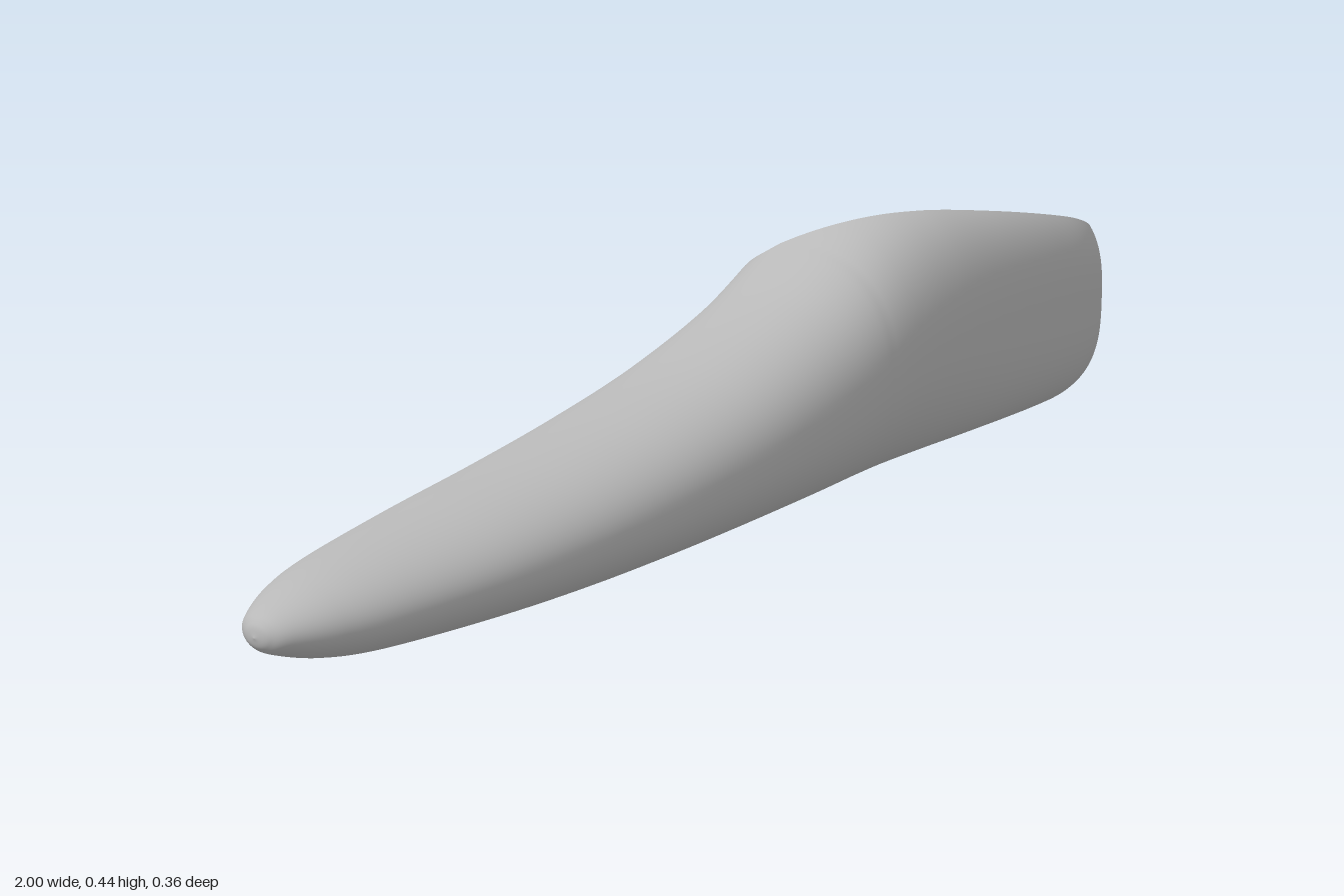
import * as THREE from 'three';

// Stations along the length: x, top, bottom, half width, roundness exponent
const stations = [
  [-1, 0.125, 0.125, 0, 2], [-0.993, 0.145, 0.107, 0.025, 2], [-0.97, 0.16, 0.092, 0.05, 2],
  [-0.9, 0.181, 0.068, 0.086, 2], [-0.8, 0.195, 0.051, 0.115, 2], [-0.6, 0.21, 0.035, 0.145, 2.05],
  [-0.4, 0.226, 0.023, 0.16, 2.1], [-0.2, 0.25, 0.016, 0.168, 2.15], [0, 0.286, 0.012, 0.173, 2.2],
  [0.2, 0.346, 0.009, 0.176, 2.25], [0.37, 0.43, 0.007, 0.178, 2.3], [0.5, 0.45, 0.006, 0.179, 2.5],
  [0.65, 0.435, 0.005, 0.179, 2.8], [0.8, 0.412, 0.004, 0.179, 3], [0.89, 0.392, 0.006, 0.175, 3],
  [0.95, 0.362, 0.022, 0.158, 2.9], [0.982, 0.322, 0.06, 0.125, 2.8], [0.996, 0.26, 0.11, 0.075, 2.6],
  [1, 0.18, 0.18, 0, 2.5],
];

const spline = (pick) =>
  new THREE.CatmullRomCurve3(stations.map(pick), false, 'catmullrom', 0.5);
const heights = spline((s) => new THREE.Vector3(s[0], s[1], s[2]));
const widths = spline((s) => new THREE.Vector3(s[0], s[3], s[4]));

// Slanted plane that cuts the opening
const cutHeight = (x, z) => 0.55 - 0.34 * x + 0.7 * z;

// Point of the rounded cross-section at an angle
function sectionPoint(h, w, angle) {
  const power = 2 / w.z;
  const c = Math.cos(angle), s = Math.sin(angle);
  const middle = (h.y + h.z) / 2, half = Math.max(0, (h.y - h.z) / 2);
  return new THREE.Vector3(
    h.x,
    middle + half * Math.sign(s) * Math.abs(s) ** power,
    Math.max(0, w.y) * Math.sign(c) * Math.abs(c) ** power,
  );
}

// Range of angles lying above the cut; zero width where the section is whole
function cutRange(h, w) {
  const steps = 720;
  const excess = (a) => {
    const p = sectionPoint(h, w, a);
    return p.y - cutHeight(p.x, p.z);
  };
  let start = null, end = null, best = -Infinity, bestAngle = 0;
  let before = excess(-Math.PI / 2);
  for (let i = 1; i <= steps; i++) {
    const a = -Math.PI / 2 + (i / steps) * Math.PI * 2;
    const now = excess(a);
    const crossing = a - (now / (now - before)) * (Math.PI * 2 / steps);
    if (before <= 0 && now > 0 && start === null) start = crossing;
    if (before > 0 && now <= 0) end = crossing;
    if (now > best) { best = now; bestAngle = a; }
    before = now;
  }
  return start !== null && end !== null ? [start, end, true] : [bestAngle, bestAngle, false];
}

// Skin a list of equally long rows of points
function loft(rows) {
  const n = rows[0].length, index = [];
  for (let i = 0; i < rows.length - 1; i++) {
    for (let j = 0; j < n - 1; j++) {
      const a = i * n + j, b = a + n;
      index.push(a, b, b + 1, a, b + 1, a + 1);
    }
  }
  const geometry = new THREE.BufferGeometry().setFromPoints(rows.flat());
  geometry.setIndex(index);
  geometry.computeVertexNormals();
  return geometry;
}

export function createModel() {
  const grey = new THREE.MeshStandardMaterial({ color: 0xb8b8b8, side: THREE.DoubleSide });
  grey.name = 'plainGrey';

  const slices = 216, around = 72, across = 20;
  const shellRows = [], dishRows = [], whole = [];
  for (let i = 0; i <= slices; i++) {
    const h = heights.getPoint(i / slices), w = widths.getPoint(i / slices);
    const [start, end, open] = cutRange(h, w);

    // Outer wall from the back rim, under the body, to the front rim
    const row = [];
    for (let j = 0; j <= around; j++) {
      row.push(sectionPoint(h, w, end + (j / around) * (start + Math.PI * 2 - end)));
    }
    shellRows.push(row);
    whole.push(!open);

    // Hollow between the two rims
    if (open || (i < slices && i > slices / 2)) {
      const front = row[around], back = row[0];
      const depth = 0.2 * front.distanceTo(back);
      const dish = [];
      for (let j = 0; j <= across; j++) {
        const u = j / across, sag = depth * (1 - (2 * u - 1) ** 4);
        const p = front.clone().lerp(back, u);
        p.y -= 0.82 * sag;
        p.z += 0.45 * sag;
        dish.push(p);
      }
      dishRows.push(dish);
    }
  }

  // Blend the normals where the whole sections close on themselves
  const shell = loft(shellRows);
  const normals = shell.attributes.normal;
  whole.forEach((closed, i) => {
    if (!closed) return;
    const a = i * (around + 1), b = a + around;
    const sum = new THREE.Vector3().fromBufferAttribute(normals, a)
      .add(new THREE.Vector3().fromBufferAttribute(normals, b)).normalize();
    normals.setXYZ(a, sum.x, sum.y, sum.z);
    normals.setXYZ(b, sum.x, sum.y, sum.z);
  });

  const group = new THREE.Group();
  group.name = 'taperedShell';
  const body = new THREE.Mesh(shell, grey);
  body.name = 'outerBody';
  const hollow = new THREE.Mesh(loft(dishRows), grey);
  hollow.name = 'openingHollow';
  group.add(body, hollow);
  return group;
}
